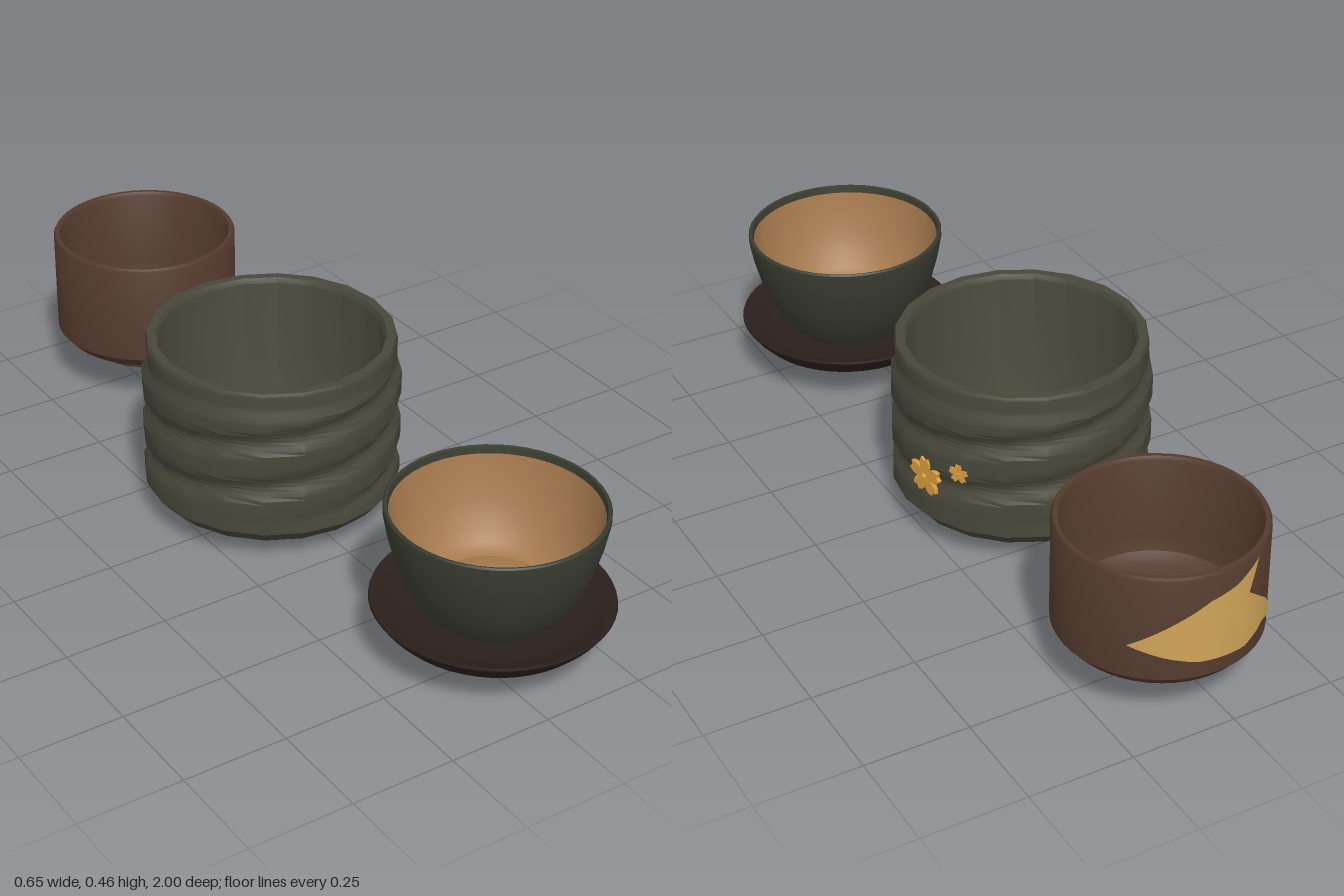
import * as THREE from 'three';
import { toCreasedNormals } from 'three/addons/utils/BufferGeometryUtils.js';

const mat = (color, side = THREE.FrontSide) => new THREE.MeshStandardMaterial({ color, side });
const MOSS = mat(0x47473a), DARK_MOSS = mat(0x3a3c30), BROWN = mat(0x533a2d);
const SAUCER = mat(0x2a1f1b), TAN = mat(0xa67a4e, THREE.DoubleSide);
const GOLD = mat(0xdb9c3c), PATCH = mat(0xcfa457, THREE.DoubleSide);

// Turned part from [radius, height] pairs: bottom centre, up the outside, down the inside
function turned(name, profile, material, segments = 48, deform) {
  const geo = new THREE.LatheGeometry(profile.map(([r, y]) => new THREE.Vector2(r, y)), segments);
  if (deform) deform(geo.attributes.position);
  const mesh = new THREE.Mesh(toCreasedNormals(geo, 0.6), material);
  mesh.name = name;
  return mesh;
}

function groupAt(name, x, z) {
  const g = new THREE.Group();
  g.name = name;
  g.position.set(x, 0, z);
  return g;
}

// Five-petal blossom facing +z
function blossom(name, radius) {
  const g = new THREE.Group();
  g.name = name;
  const r = radius, s = new THREE.Shape();
  s.moveTo(0, r * 0.08);
  s.bezierCurveTo(r * 0.2, r * 0.2, r * 0.52, r * 0.65, r * 0.2, r);
  s.lineTo(0, r * 0.88);
  s.lineTo(-r * 0.2, r);
  s.bezierCurveTo(-r * 0.52, r * 0.65, -r * 0.2, r * 0.2, 0, r * 0.08);
  const petalGeo = new THREE.ExtrudeGeometry(s, {
    depth: r * 0.1, bevelSize: r * 0.03, bevelThickness: r * 0.06, bevelSegments: 2, curveSegments: 6,
  });
  for (let i = 0; i < 5; i++) {
    const petal = new THREE.Mesh(petalGeo, GOLD);
    petal.name = 'petal';
    petal.rotation.z = (i * Math.PI * 2) / 5;
    g.add(petal);
  }
  const heart = new THREE.Mesh(new THREE.SphereGeometry(r * 0.16, 10, 8), GOLD);
  heart.name = 'blossomHeart';
  heart.position.z = r * 0.14;
  g.add(heart);
  return g;
}

// Flat outline of [degrees, height] points, subdivided and wrapped round a cylinder's back
function wrappedPatch(name, outline, radius, material) {
  const rad = Math.PI / 180;
  const shape = new THREE.Shape(outline.map(([a, y]) => new THREE.Vector2(-a * rad * radius, y)));
  const flat = new THREE.ShapeGeometry(shape).toNonIndexed().attributes.position;
  let pts = [];
  for (let i = 0; i < flat.count; i++) pts.push(new THREE.Vector3().fromBufferAttribute(flat, i));
  const mid = (a, b) => a.clone().lerp(b, 0.5);
  for (let pass = 0; pass < 4; pass++) {
    const next = [];
    for (let i = 0; i < pts.length; i += 3) {
      const [a, b, c] = pts.slice(i, i + 3);
      const ab = mid(a, b), bc = mid(b, c), ca = mid(c, a);
      next.push(a, ab, ca, ab, b, bc, ca, bc, c, ab, bc, ca);
    }
    pts = next;
  }
  const wrapped = pts.map((p) => new THREE.Vector3(
    -radius * Math.sin(p.x / radius), p.y, -radius * Math.cos(p.x / radius)));
  const geo = new THREE.BufferGeometry().setFromPoints(wrapped);
  const normals = wrapped.flatMap((p) => [p.x / radius, 0, p.z / radius]);
  geo.setAttribute('normal', new THREE.Float32BufferAttribute(normals, 3));
  const mesh = new THREE.Mesh(geo, material);
  mesh.name = name;
  return mesh;
}

// Large bowl with spiral grooves, gold blossoms on its side
function makeGroovedBowl() {
  const g = groupAt('groovedBowl', -0.02, -0.053);
  const R = 0.307, top = 0.42;
  const profile = [[0, 0.015], [0.13, 0.015], [0.14, 0], [0.155, 0], [0.174, 0.012], [0.174, 0.028],
    [0.228, 0.028], [0.28, 0.058]];
  for (let i = 0; i <= 33; i++) profile.push([R, 0.09 + i * 0.01]);
  profile.push([0.296, 0.45], [0.292, 0.457], [0.272, 0.457], [0.265, 0.445], [0.265, 0.13],
    [0.245, 0.09], [0.2, 0.07], [0.1, 0.064], [0.08, 0.06], [0.04, 0.062], [0, 0.064]);
  const grooves = (pos) => {
    for (let i = 0; i < pos.count; i++) {
      const x = pos.getX(i), y = pos.getY(i), z = pos.getZ(i);
      if (Math.abs(Math.hypot(x, z) - R) > 0.002) continue;
      const y0 = 0.295 + (0.24 * (Math.atan2(x, z) + Math.PI / 2)) / (Math.PI * 2);
      const groove = Math.max(0, Math.cos(((y - y0) * Math.PI * 2) / 0.12));
      const low = THREE.MathUtils.smoothstep(y, 0.1, 0.15);
      const high = THREE.MathUtils.smoothstep(y, top - 0.04, top);
      const k = 1 - (THREE.MathUtils.lerp(groove * low, 0.75, high) * 0.016) / R;
      pos.setXYZ(i, x * k, y, z * k);
    }
  };
  g.add(turned('bowlBody', profile, MOSS, 20, grooves));
  for (const [name, r, y, dz] of [['largeBlossom', 0.047, 0.2, -0.078], ['smallBlossom', 0.024, 0.242, -0.164]]) {
    const b = blossom(name, r);
    const out = 0.303, nx = Math.sqrt(out * out - dz * dz);
    b.position.set(nx, y, dz);
    b.rotation.y = Math.atan2(nx, dz);
    b.rotation.order = 'YXZ';
    g.add(b);
  }
  return g;
}

// Flared cup with a tan lining, standing on a saucer
function makeCupAndSaucer() {
  const g = groupAt('cupAndSaucer', 0.0525, 0.727);
  g.add(turned('saucer', [[0, 0.068], [0.13, 0.068], [0.14, 0.06], [0.155, 0.06], [0.2, 0.073], [0.235, 0.093],
    [0.258, 0.117], [0.2725, 0.138], [0.271, 0.143], [0.262, 0.142], [0.24, 0.125], [0.2, 0.112],
    [0.15, 0.106], [0, 0.106]], SAUCER));
  g.add(turned('cupBody', [[0, 0.108], [0.125, 0.108], [0.147, 0.12], [0.166, 0.142], [0.198, 0.195], [0.22, 0.25],
    [0.236, 0.31], [0.245, 0.358], [0.245, 0.374], [0.242, 0.378], [0.236, 0.376], [0.233, 0.36]], DARK_MOSS));
  g.add(turned('cupLining', [[0.234, 0.365], [0.225, 0.315], [0.208, 0.255], [0.185, 0.205], [0.16, 0.172],
    [0.142, 0.158], [0.128, 0.156], [0.118, 0.162], [0.06, 0.16], [0.025, 0.158]], TAN));
  const dot = new THREE.Mesh(new THREE.CircleGeometry(0.028, 24), DARK_MOSS);
  dot.name = 'cupCentre';
  dot.rotation.x = -Math.PI / 2;
  dot.position.y = 0.157;
  g.add(dot);
  return g;
}

// Straight brown cup with a gold repair patch on its back
function makeStraightCup() {
  const g = groupAt('straightCup', 0.05, -0.767);
  g.add(turned('straightCupBody', [[0, 0.092], [0.125, 0.092], [0.133, 0.08], [0.148, 0.08], [0.155, 0.087],
    [0.155, 0.108], [0.195, 0.113], [0.21, 0.122], [0.232, 0.148], [0.232, 0.398], [0.228, 0.405],
    [0.218, 0.405], [0.213, 0.397], [0.211, 0.2], [0.2, 0.165], [0.17, 0.145], [0.09, 0.138],
    [0.055, 0.138], [0.045, 0.133], [0, 0.136]], BROWN));
  g.add(wrappedPatch('goldPatch', [[49, 0.23], [25, 0.292], [6, 0.338], [-10, 0.356], [-27, 0.39], [-19.5, 0.316],
    [-42, 0.242], [-55, 0.175], [-36, 0.2], [-18, 0.18], [12, 0.188], [30, 0.207]], 0.2335, PATCH));
  return g;
}

export function createModel() {
  const model = new THREE.Group();
  model.name = 'teaBowlSet';
  model.add(makeCupAndSaucer(), makeGroovedBowl(), makeStraightCup());
  return model;
}
